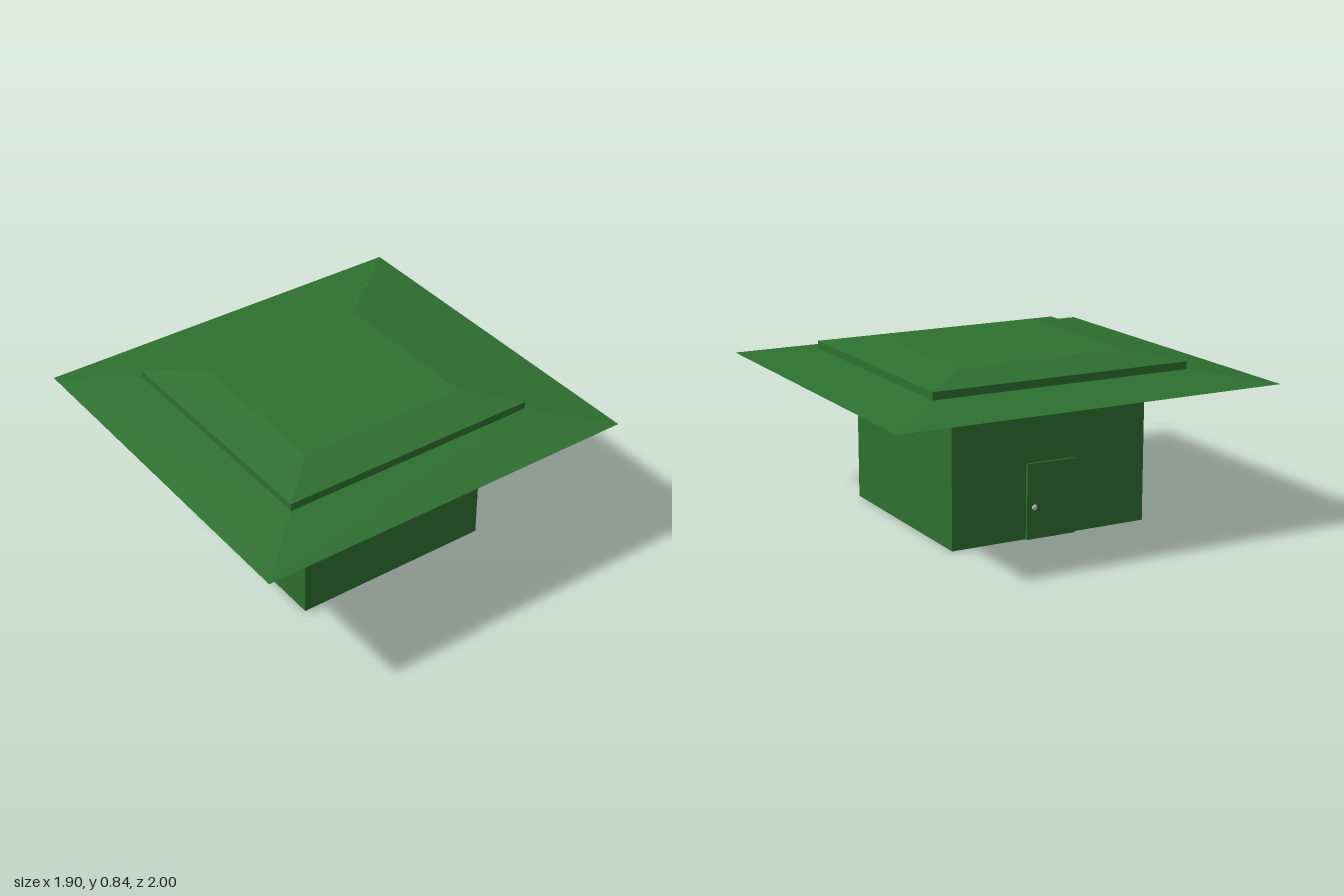
import * as THREE from 'three';

const green = new THREE.MeshStandardMaterial({ color: 0x2e7030 });
green.name = 'forest green';
const grey = new THREE.MeshStandardMaterial({ color: 0xcccccc });
grey.name = 'light grey';

// Rectangular block from y0 to y1 whose half sizes change from bottom to top
function taperedBlock(name, y0, y1, [bx, bz], [tx, tz]) {
  const geo = new THREE.BoxGeometry(2, y1 - y0, 2).toNonIndexed();
  const pos = geo.attributes.position;
  for (let i = 0; i < pos.count; i++) {
    const top = pos.getY(i) > 0;
    pos.setX(i, pos.getX(i) * (top ? tx : bx));
    pos.setZ(i, pos.getZ(i) * (top ? tz : bz));
  }
  geo.translate(0, (y0 + y1) / 2, 0);
  geo.computeVertexNormals();
  const mesh = new THREE.Mesh(geo, green);
  mesh.name = name;
  return mesh;
}

export function createModel() {
  const model = new THREE.Group();
  model.name = 'hut';

  // Walls
  model.add(taperedBlock('walls', 0.001, 0.61, [0.518, 0.52], [0.518, 0.52]));

  // Floor slab, showing inside the wall rim from below
  const floor = new THREE.Mesh(new THREE.BoxGeometry(0.96, 0.008, 0.96), grey);
  floor.name = 'floor';
  floor.position.y = 0.004;
  model.add(floor);

  // Roof: sloping soffit, eaves, raised cap and its hipped top
  const roof = new THREE.Group();
  roof.name = 'roof';
  roof.add(
    taperedBlock('soffit', 0.61, 0.715, [0.475, 0.495], [0.95, 1]),
    taperedBlock('eaves', 0.715, 0.762, [0.95, 1], [0.64, 0.673]),
    taperedBlock('capBand', 0.76, 0.8, [0.642, 0.675], [0.642, 0.675]),
    taperedBlock('capTop', 0.8, 0.84, [0.642, 0.675], [0.425, 0.445])
  );
  model.add(roof);

  // Door on the right wall with a small knob
  const door = new THREE.Mesh(new THREE.BoxGeometry(0.03, 0.37, 0.26), green);
  door.name = 'door';
  door.position.set(-0.516, 0.185, 0);
  const knob = new THREE.Mesh(new THREE.SphereGeometry(0.014, 12, 8), grey);
  knob.name = 'doorKnob';
  knob.scale.x = 0.5;
  knob.position.set(-0.531, 0.155, -0.09);
  model.add(door, knob);

  return model;
}
